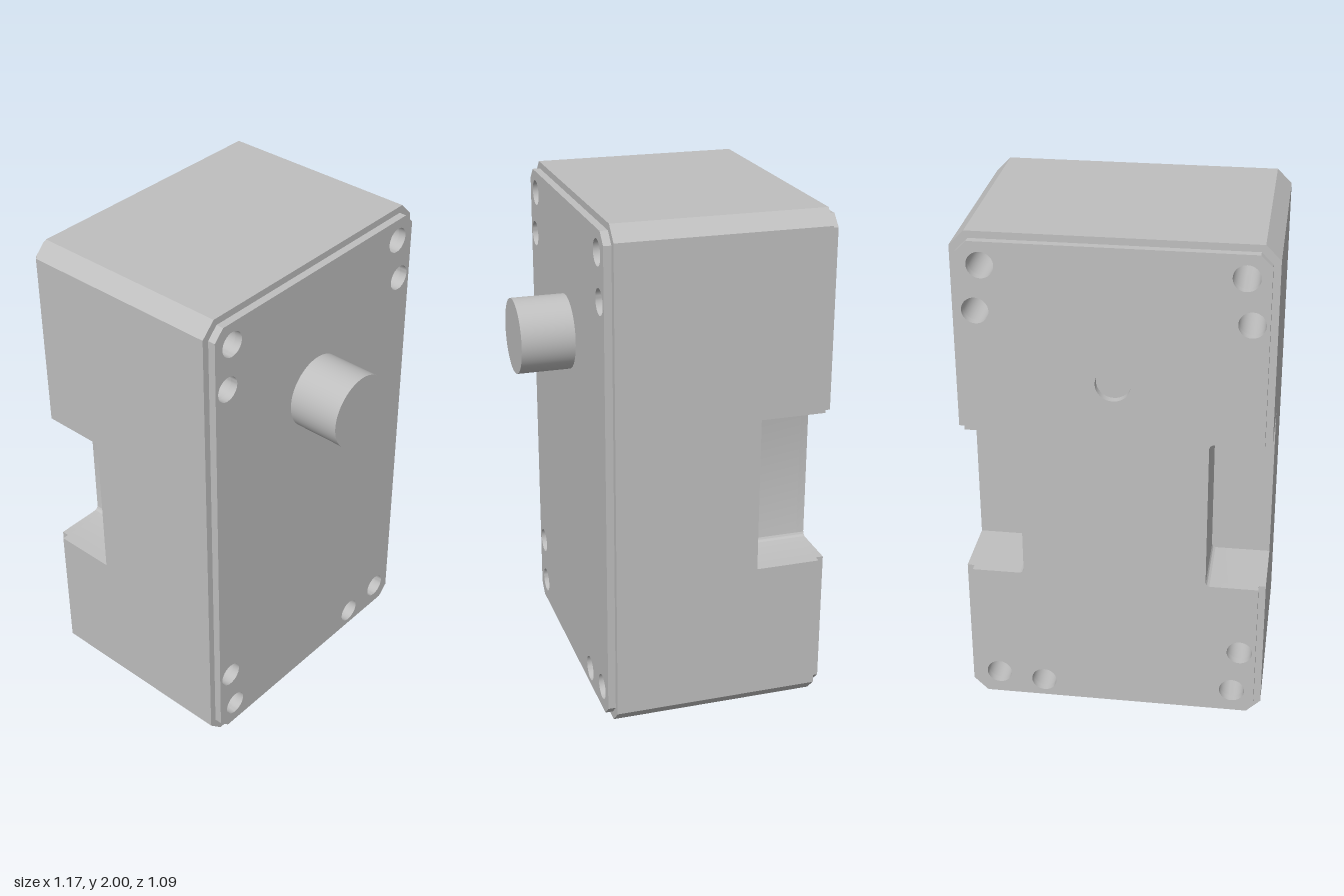
import * as THREE from 'three';
import { toCreasedNormals } from 'three/addons/utils/BufferGeometryUtils.js';

const TOP = 2, HALF = 0.585, CHAMFER = 0.056;
const NOTCH = { x: 0.355, low: 0.605, high: 1.225, fillet: 0.02 };
const SHAFT_Y = 1.445;

// screw holes running right through the housing
const HOLES = [
  [-0.47, 1.885], [0.47, 1.885], [-0.495, 1.71], [0.495, 1.71],
  [-0.495, 0.305], [-0.47, 0.12], [0.47, 0.12], [0.287, 0.098],
];

function addHole(shape, x, y, r) {
  shape.holes.push(new THREE.Path().absarc(x, y, r, 0, Math.PI * 2, true));
}

// chamfered rectangle, optionally with a rounded notch in each long side
function outline(inset, chamfer, notched) {
  const w = HALF - inset, b = inset, t = TOP - inset, c = chamfer;
  const { x, low, high, fillet: f } = NOTCH;
  const s = new THREE.Shape();
  s.moveTo(-w + c, b);
  s.lineTo(w - c, b);
  s.lineTo(w, b + c);
  if (notched) {
    s.lineTo(w, low);
    s.lineTo(x + f, low);
    s.absarc(x + f, low + f, f, -Math.PI / 2, -Math.PI, true);
    s.lineTo(x, high - f);
    s.absarc(x + f, high - f, f, Math.PI, Math.PI / 2, true);
    s.lineTo(w, high);
  }
  s.lineTo(w, t - c);
  s.lineTo(w - c, t);
  s.lineTo(-w + c, t);
  s.lineTo(-w, t - c);
  if (notched) {
    s.lineTo(-w, high);
    s.lineTo(-x - f, high);
    s.absarc(-x - f, high - f, f, Math.PI / 2, 0, true);
    s.lineTo(-x, low + f);
    s.absarc(-x - f, low + f, f, 0, -Math.PI / 2, true);
    s.lineTo(-w, low);
  }
  s.lineTo(-w, b + c);
  s.closePath();
  for (const [hx, hy] of HOLES) addHole(s, hx, hy, 0.05);
  return s;
}

export function createModel() {
  const group = new THREE.Group();
  const metal = new THREE.MeshStandardMaterial({ color: 0xbfbfbf });
  metal.name = 'grey metal';

  function slab(name, shape, zBack, zFront) {
    const geo = new THREE.ExtrudeGeometry(shape, {
      depth: zFront - zBack, bevelEnabled: false, curveSegments: 16,
    });
    const mesh = new THREE.Mesh(toCreasedNormals(geo, 0.6), metal);
    mesh.position.z = zBack;
    mesh.name = name;
    group.add(mesh);
  }

  // housing, whole at the front and notched at the back
  slab('housingFront', outline(0, CHAMFER, false), -0.26, 0.305);
  slab('housingBack', outline(0, CHAMFER, true), -0.515, -0.26);

  // stepped cover plates
  slab('frontCover', outline(0.027, 0.043, false), 0.305, 0.335);
  const back = outline(0.027, 0.043, true);
  addHole(back, 0, SHAFT_Y, 0.066);
  slab('backCover', back, -0.545, -0.515);

  // output shaft
  const shaft = new THREE.Mesh(new THREE.CylinderGeometry(0.147, 0.147, 0.22, 64), metal);
  shaft.rotation.x = Math.PI / 2;
  shaft.position.set(0, SHAFT_Y, 0.435);
  shaft.name = 'shaft';
  group.add(shaft);

  return group;
}
